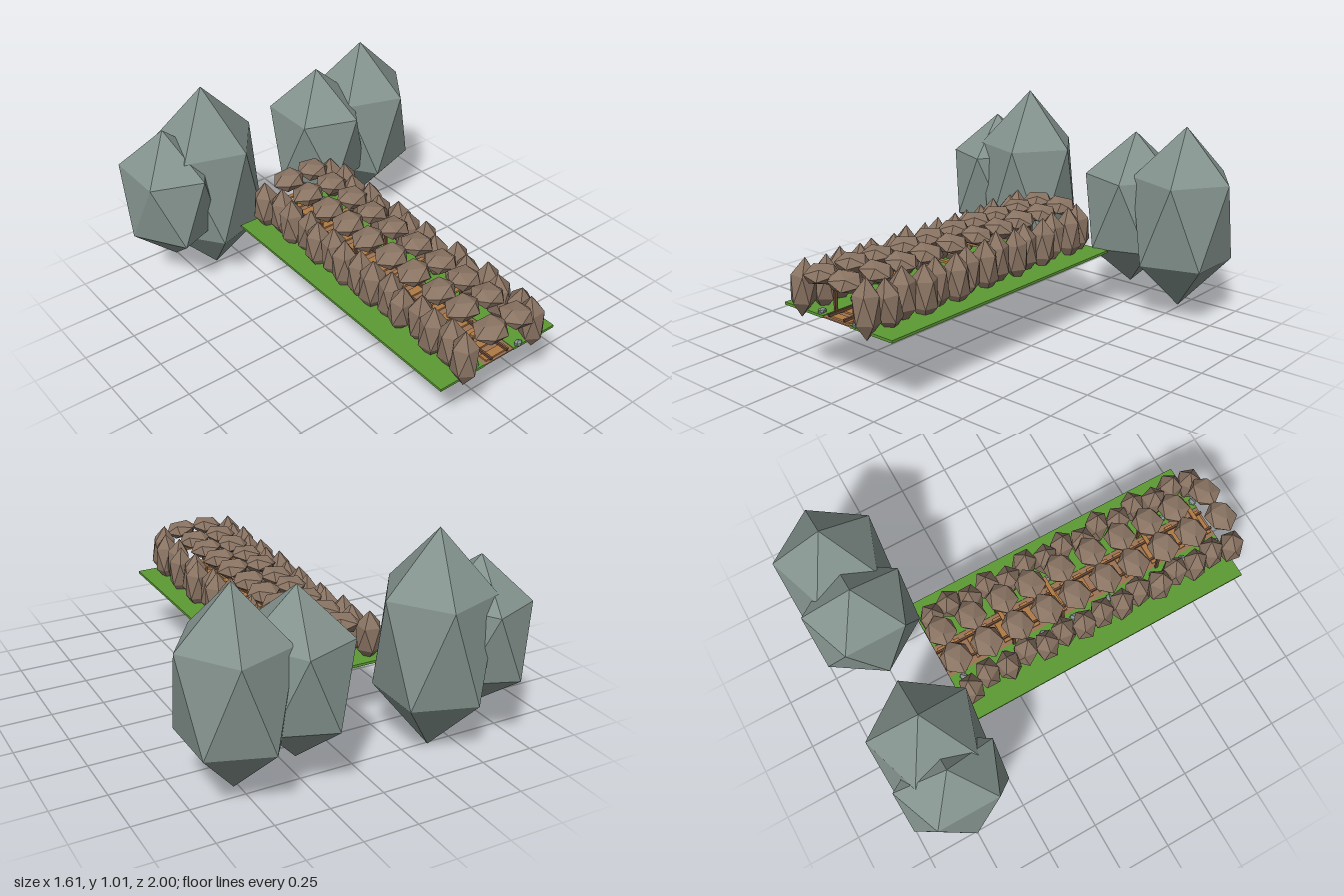
import * as THREE from 'three';

const paint = (name, color) => {
  const m = new THREE.MeshStandardMaterial({ color });
  m.name = name;
  return m;
};

export function createModel() {
  const model = new THREE.Group();
  model.name = 'rockTunnel';
  const slate = paint('slate', 0x84938e);
  const stone = paint('brownStone', 0x8a7463);
  const grass = paint('grass', 0x5c9a34);
  const earth = paint('earth', 0x9c7356);
  const wood = paint('wood', 0xb07a45);
  const darkWood = paint('darkWood', 0x6b4a35);

  let seed = 7;
  const jitter = (a) => {
    seed = (seed * 16807) % 2147483647;
    return (seed / 2147483647 - 0.5) * 2 * a;
  };

  // Flat-faced rock with its points on the y axis
  const rockShape = new THREE.IcosahedronGeometry(1, 0);
  rockShape.rotateX(-Math.atan((1 + Math.sqrt(5)) / 2));
  rockShape.rotateY(Math.PI / 2);

  const group = (name) => {
    const g = new THREE.Group();
    g.name = name;
    model.add(g);
    return g;
  };
  const rock = (parent, name, mat, pos, size, rot = [0, 0, 0]) => {
    const m = new THREE.Mesh(rockShape, mat);
    m.name = name;
    m.position.set(...pos);
    m.scale.set(...size);
    m.rotation.set(...rot);
    parent.add(m);
  };
  const box = (parent, name, mat, size, pos) => {
    const m = new THREE.Mesh(new THREE.BoxGeometry(...size), mat);
    m.name = name;
    m.position.set(...pos);
    parent.add(m);
  };

  // Tall boulders behind the tunnel: x, half height, ring radius
  const boulders = group('boulders');
  for (const [x, h, r] of [[-0.6, 0.35, 0.21], [-0.38, 0.503, 0.25], [0.28, 0.382, 0.23], [0.56, 0.445, 0.24]]) {
    rock(boulders, 'boulder', slate, [x, 0.508, -0.76], [r / 0.894, h, 0.282]);
  }

  // Ground: two grass banks with an earth path between them
  const ground = group('ground');
  const midX = -0.03, midZ = 0.198, length = 1.46;
  box(ground, 'leftGrass', grass, [0.24, 0.012, length], [0.172, 0.336, midZ]);
  box(ground, 'rightGrass', grass, [0.24, 0.012, length], [-0.234, 0.336, midZ]);
  box(ground, 'path', earth, [0.168, 0.006, length], [midX, 0.336, midZ]);

  // Track along the path
  const track = group('track');
  for (let i = 0; i < 20; i++) {
    box(track, 'tie', wood, [0.13, 0.008, 0.04], [midX, 0.343, -0.5 + i * 0.0735]);
  }
  for (const s of [-1, 1]) {
    box(track, 'rail', darkWood, [0.01, 0.012, length], [midX + s * 0.045, 0.352, midZ]);
  }

  // Timber frames inside the tunnel
  const frames = group('timberFrames');
  for (let i = 0; i < 6; i++) {
    const z = -0.45 + i * 0.26;
    for (const s of [-1, 1]) {
      box(frames, 'post', darkWood, [0.01, 0.12, 0.015], [midX + s * 0.088, 0.392, z]);
    }
    box(frames, 'beam', wood, [0.19, 0.01, 0.02], [midX, 0.452, z]);
  }

  // Small square green frame low on the path near the back
  const marker = group('marker');
  for (const s of [-1, 1]) {
    box(marker, 'markerSide', grass, [0.006, 0.048, 0.006], [midX + s * 0.016, 0.366, -0.5]);
    box(marker, 'markerRail', grass, [0.038, 0.006, 0.006], [midX, 0.366 + s * 0.022, -0.5]);
  }

  // Upright rocks forming both walls
  const walls = group('walls');
  for (let i = 0; i < 15; i++) {
    const z = -0.475 + i * 0.1;
    for (const s of [-1, 1]) {
      const x = midX + s * 0.19 + (i % 2 ? 0.012 : -0.012) + jitter(0.008);
      rock(walls, 'wallRock', stone, [x, 0.433 + jitter(0.007), z],
        [0.062, 0.128 + jitter(0.006), 0.066],
        [jitter(0.06), jitter(1.5), -0 + s * 0.07]);
      // Loose slate pieces at the wall foot
      if (i % 2 === 0) {
        rock(walls, 'looseStone', slate, [midX + s * 0.115, 0.349, z + jitter(0.03)],
          [0.018, 0.014, 0.022], [0, jitter(2), 0]);
      }
    }
  }

  // Two rows of rocks lying across as the roof
  const roof = group('roof');
  for (let i = 0; i < 10; i++) {
    const z = -0.476 + i * 0.156;
    for (const s of [-1, 1]) {
      rock(roof, 'roofRock', stone, [midX + s * 0.072, 0.531 + jitter(0.003), z + jitter(0.008)],
        [0.046, 0.084, 0.078], [jitter(0.1), jitter(0.08), Math.PI / 2 - s * 0.1]);
    }
  }

  return model;
}
